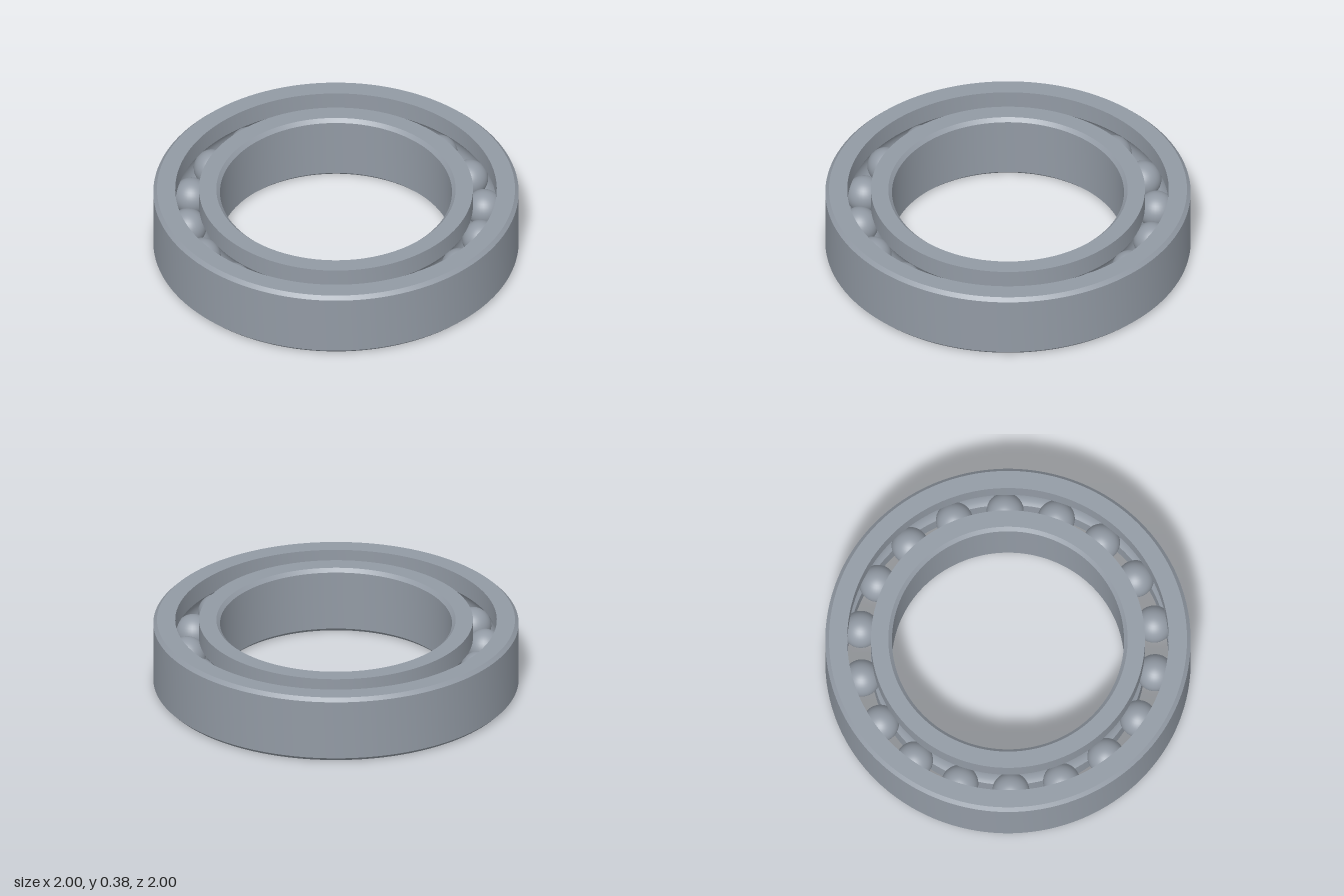
import * as THREE from 'three';
import { toCreasedNormals } from 'three/addons/utils/BufferGeometryUtils.js';

const HEIGHT = 0.38, MID = HEIGHT / 2, CHAMFER = 0.02;
const PITCH = 0.815, BALL = 0.102, GROOVE = 0.104, BALLS = 18;

// Arc of the ball groove where it cuts a race wall of the given radius.
// side: +1 for the outer race, -1 for the inner race; runs in the lathe's winding order.
function grooveArc(wall, side) {
  const half = Math.acos(Math.abs(wall - PITCH) / GROOVE);
  const points = [];
  for (let i = 0; i <= 12; i++) {
    const a = side * half * (1 - i / 6);
    points.push([PITCH + side * GROOVE * Math.cos(a), MID + GROOVE * Math.sin(a)]);
  }
  return points;
}

// Revolves a closed counterclockwise profile and keeps its edges sharp.
function ring(name, profile, material) {
  const points = [...profile, profile[0]].map(([r, y]) => new THREE.Vector2(r, y));
  const geometry = toCreasedNormals(new THREE.LatheGeometry(points, 128), 0.4);
  const mesh = new THREE.Mesh(geometry, material);
  mesh.name = name;
  return mesh;
}

export function createModel() {
  const model = new THREE.Group();
  model.name = 'ballBearing';
  const steel = new THREE.MeshStandardMaterial({ color: 0x929aa4 });
  steel.name = 'steel';

  // Outer ring: chamfered outside, grooved inside
  const outerWall = 0.88;
  model.add(ring('outerRing', [
    [outerWall, 0], [1 - CHAMFER, 0], [1, CHAMFER],
    [1, HEIGHT - CHAMFER], [1 - CHAMFER, HEIGHT], [outerWall, HEIGHT],
    ...grooveArc(outerWall, 1),
  ], steel));

  // Inner ring: grooved outside, chamfered bore
  const innerWall = 0.75, bore = 0.635;
  model.add(ring('innerRing', [
    [bore + CHAMFER, 0], [innerWall, 0],
    ...grooveArc(innerWall, -1),
    [innerWall, HEIGHT], [bore + CHAMFER, HEIGHT],
    [bore, HEIGHT - CHAMFER], [bore, CHAMFER],
  ], steel));

  // Balls spaced evenly between the races
  const balls = new THREE.Group();
  balls.name = 'balls';
  const sphere = new THREE.SphereGeometry(BALL, 32, 20);
  for (let i = 0; i < BALLS; i++) {
    const a = THREE.MathUtils.degToRad(2 + i * 360 / BALLS);
    const ball = new THREE.Mesh(sphere, steel);
    ball.name = 'ball';
    ball.position.set(PITCH * Math.sin(a), MID, -PITCH * Math.cos(a));
    balls.add(ball);
  }
  model.add(balls);
  return model;
}
